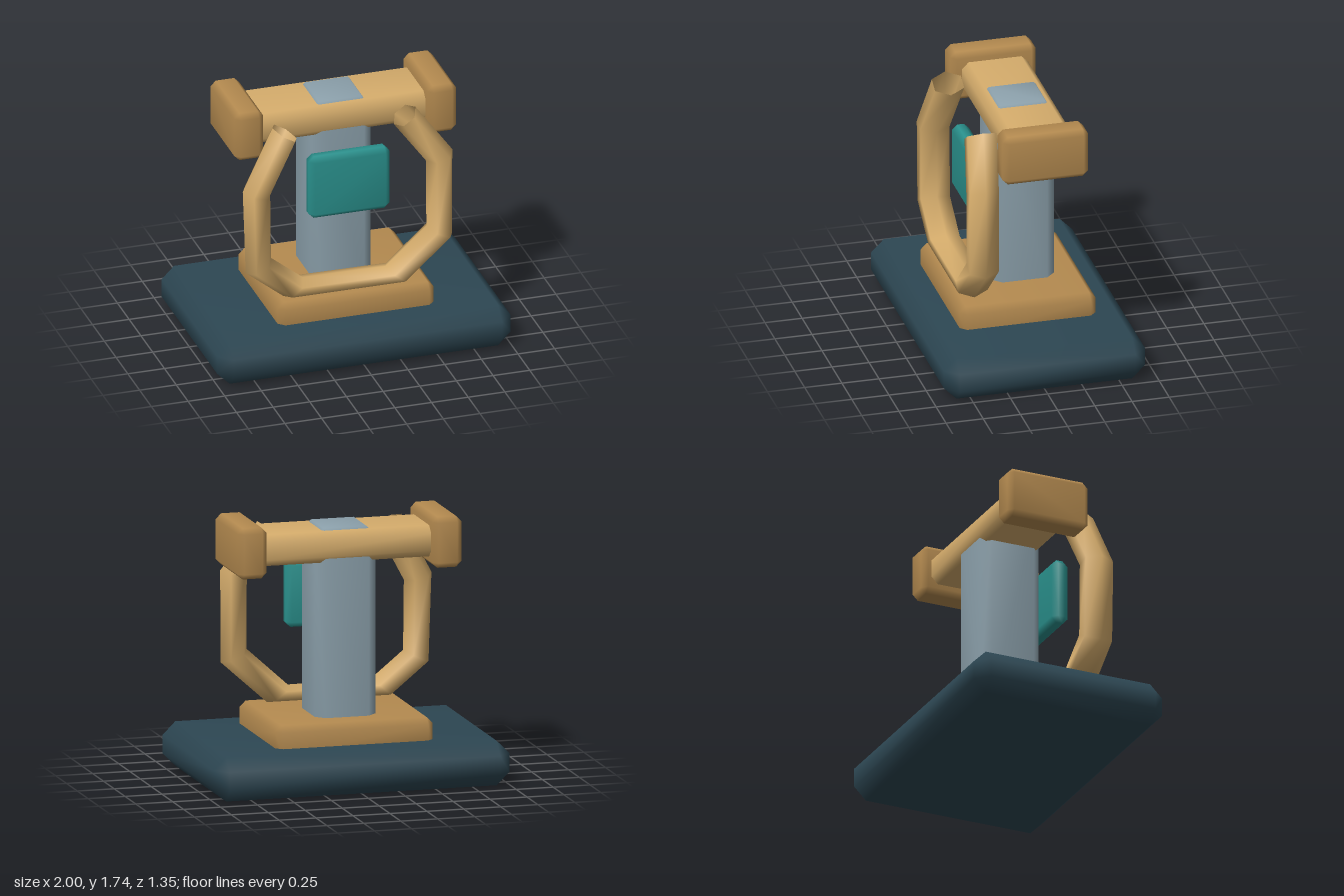
import * as THREE from 'three';
import { ConvexGeometry } from 'three/addons/geometries/ConvexGeometry.js';
import { mergeVertices } from 'three/addons/utils/BufferGeometryUtils.js';

// Box between two corners, every edge cut by c, with softly blended normals
function chamferBox(min, max, c) {
  const size = max.map((v, i) => (v - min[i]) / 2);
  const mid = max.map((v, i) => (v + min[i]) / 2);
  const points = [];
  for (const sx of [-1, 1]) for (const sy of [-1, 1]) for (const sz of [-1, 1]) {
    for (let axis = 0; axis < 3; axis++) {
      const p = [sx, sy, sz].map((s, i) => s * (size[i] - (i === axis ? 0 : c)));
      points.push(new THREE.Vector3(...p));
    }
  }
  let geo = new ConvexGeometry(points);
  geo.deleteAttribute('normal');
  geo = mergeVertices(geo, 1e-4);
  geo.computeVertexNormals();
  geo.translate(...mid);
  return geo;
}

// Open six-sided tube through sections given as [outerX, outerY, innerX, innerY, z]
function sectionTube(sections, sides, depth) {
  const pos = [], index = [];
  sections.forEach(([ox, oy, ix, iy, z], i) => {
    for (let j = 0; j < sides; j++) {
      const a = (j / sides) * Math.PI * 2, k = Math.cos(a) / 2;
      pos.push((ox + ix) / 2 + (ox - ix) * k, (oy + iy) / 2 + (oy - iy) * k, z + depth * Math.sin(a));
      if (i === sections.length - 1) continue;
      const p = i * sides + j, q = i * sides + (j + 1) % sides;
      index.push(p, p + sides, q, q, p + sides, q + sides);
    }
  });
  const geo = new THREE.BufferGeometry();
  geo.setAttribute('position', new THREE.Float32BufferAttribute(pos, 3));
  geo.setIndex(index);
  geo.computeVertexNormals();
  return geo;
}

export function createModel() {
  const group = new THREE.Group();
  const material = (name, color, side = THREE.FrontSide) => {
    const m = new THREE.MeshStandardMaterial({ color, side });
    m.name = name;
    return m;
  };
  const slate = material('dark slate', 0x2d4753);
  const bronze = material('bronze', 0xb58b50);
  const tan = material('light tan', 0xd6ad6c, THREE.DoubleSide);
  const steel = material('steel grey', 0x8da2ad);
  const teal = material('teal', 0x2a918d);

  const add = (name, geo, mat) => {
    const mesh = new THREE.Mesh(geo, mat);
    mesh.name = name;
    group.add(mesh);
  };

  // Stand
  add('base', chamferBox([-1, 0, -0.675], [1, 0.295, 0.675], 0.085), slate);
  add('plinth', chamferBox([-0.533, 0.2, -0.457], [0.533, 0.443, 0.457], 0.042), bronze);
  add('column', chamferBox([-0.205, 0.3, -0.27], [0.205, 1.69, 0.15], 0.06), steel);

  // Crossbar with a block on each end
  add('crossbar', chamferBox([-0.62, 1.47, -0.285], [0.62, 1.677, 0.16], 0.045), tan);
  add('rightEndBlock', chamferBox([-0.757, 1.405, -0.345], [-0.56, 1.743, 0.23], 0.036), bronze);
  add('leftEndBlock', chamferBox([0.56, 1.405, -0.345], [0.757, 1.743, 0.23], 0.036), bronze);

  // Front panel
  add('panel', chamferBox([-0.277, 0.953, 0.197], [0.275, 1.397, 0.313], 0.035), teal);

  // Faceted hoop, open at the top
  add('hoop', sectionTube([
    [-0.525, 1.648, -0.36, 1.553, 0.285],
    [-0.742, 1.24, -0.555, 1.2, 0.33],
    [-0.722, 0.65, -0.55, 0.735, 0.33],
    [-0.465, 0.443, -0.33, 0.558, 0.325],
    [0.372, 0.443, 0.232, 0.552, 0.325],
    [0.685, 0.725, 0.51, 0.805, 0.33],
    [0.687, 1.335, 0.507, 1.28, 0.33],
    [0.45, 1.657, 0.303, 1.553, 0.285],
  ], 6, 0.113), tan);

  return group;
}
